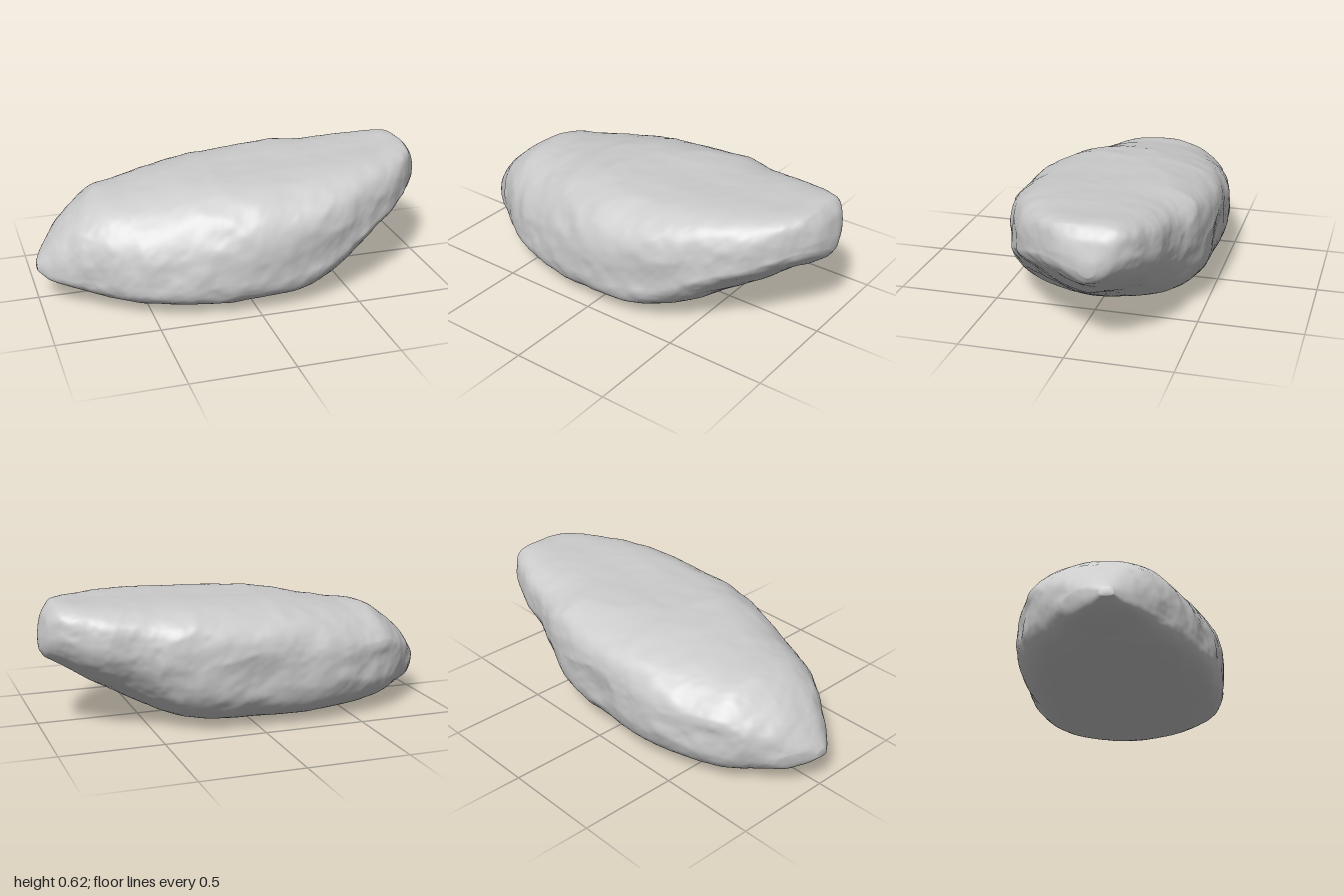
import * as THREE from 'three';

// Stations along the boulder: x, top y, bottom y, back z, front z
const STATIONS = [
  [-1.0, 0.2, 0.16, -0.03, 0.03], [-0.96, 0.26, 0.125, -0.11, 0.08],
  [-0.9, 0.34, 0.1, -0.2, 0.15], [-0.8, 0.43, 0.07, -0.3, 0.235],
  [-0.68, 0.505, 0.04, -0.385, 0.305], [-0.55, 0.525, 0.022, -0.44, 0.37],
  [-0.4, 0.55, 0.012, -0.485, 0.43], [-0.2, 0.58, 0.004, -0.5, 0.48],
  [0, 0.594, 0.008, -0.5, 0.498], [0.2, 0.6, 0.016, -0.498, 0.485],
  [0.38, 0.606, 0.035, -0.465, 0.455], [0.5, 0.61, 0.08, -0.42, 0.415],
  [0.62, 0.615, 0.145, -0.39, 0.36], [0.74, 0.618, 0.215, -0.362, 0.285],
  [0.85, 0.624, 0.29, -0.32, 0.19], [0.92, 0.615, 0.335, -0.275, 0.1],
  [0.97, 0.565, 0.365, -0.22, 0.02], [0.995, 0.47, 0.4, -0.15, -0.07],
];
const RINGS = 200, SIDES = 180;
const { lerp, smoothstep } = THREE.MathUtils;

// Seeded lattice value, and smooth noise in -1..1
function lattice(x, y, z) {
  let h = Math.imul(x, 374761393) ^ Math.imul(y, 668265263) ^ Math.imul(z, 1274126177);
  h = Math.imul(h ^ (h >>> 13), 1103515245);
  return ((h ^ (h >>> 16)) >>> 0) / 2147483648 - 1;
}
function noise(x, y, z) {
  const c = [x, y, z].map(Math.floor);
  const f = [x, y, z].map((v, k) => { const t = v - c[k]; return t * t * (3 - 2 * t); });
  let sum = 0;
  for (let k = 0; k < 8; k++) {
    const a = k & 1, b = (k >> 1) & 1, d = k >> 2;
    sum += (a ? f[0] : 1 - f[0]) * (b ? f[1] : 1 - f[1]) * (d ? f[2] : 1 - f[2])
      * lattice(c[0] + a, c[1] + b, c[2] + d);
  }
  return sum;
}

// Broad lumps, chipped ledges and fine grain; top and bottom stay smoother
function relief(p, n) {
  const calm = 1 - 0.6 * n.y ** 4;
  const lumps = noise(p.x * 4, p.y * 5, p.z * 4) * 0.009;
  const ledges = (0.3 - Math.abs(noise(p.x * 5 + 9, p.y * 7, p.z * 5 + 4))) * 0.014;
  const grain = noise(p.x * 15, p.y * 17, p.z * 15) * 0.004
    + noise(p.x * 36, p.y * 36, p.z * 36) * 0.0015;
  return calm * (lumps + ledges + grain);
}

function boulderGeometry() {
  const curve = (a, b) => new THREE.CatmullRomCurve3(
    STATIONS.map(s => new THREE.Vector3(s[0], s[a], s[b])), false, 'catmullrom', 0.4);
  const heights = curve(1, 2), widths = curve(3, 4);
  const pos = [], index = [];

  // Rings: the front is fullest low down, the back higher up. The top is rounded
  // at the low end and squarer at the raised end, where the underside is chamfered
  for (let i = 0; i <= RINGS; i++) {
    const { x, y: top, z: bottom } = heights.getPoint(i / RINGS);
    const { y: back, z: front } = widths.getPoint(i / RINGS);
    const square = smoothstep(x, -0.6, 0.4);
    const raised = smoothstep(x, 0.1, 0.65);
    for (let j = 0; j < SIDES; j++) {
      const a = j / SIDES * Math.PI * 2;
      const c = Math.cos(a), s = Math.sin(a);
      const under = c > 0 ? lerp(3, 1.5, raised) : lerp(3.3, 1.9, raised);
      const power = s > 0 ? lerp(2.2, 3.6, square) : under;
      const r = (Math.abs(c) ** power + Math.abs(s) ** power) ** (-1 / power);
      const pz = c * r, py = s * r;
      const level = lerp(0.57, lerp(0.3, 0.42, raised), (pz + 1) / 2);
      const h = level + py * (py > 0 ? 1 - level : level);
      pos.push(x, bottom + (top - bottom) * h, (back + front) / 2 + pz * (front - back) / 2);
    }
  }
  for (let i = 0; i < RINGS; i++) {
    for (let j = 0; j < SIDES; j++) {
      const k = (j + 1) % SIDES;
      const a = i * SIDES + j, b = a + SIDES, c = (i + 1) * SIDES + k, d = i * SIDES + k;
      index.push(a, b, c, a, c, d);
    }
  }

  // Close both tips
  const tipA = pos.length / 3, tipB = tipA + 1, last = RINGS * SIDES;
  pos.push(-1.002, 0.18, 0, 1.0, 0.435, -0.11);
  for (let j = 0; j < SIDES; j++) {
    const k = (j + 1) % SIDES;
    index.push(tipA, j, k, tipB, last + k, last + j);
  }

  const geo = new THREE.BufferGeometry();
  geo.setAttribute('position', new THREE.Float32BufferAttribute(pos, 3));
  geo.setIndex(index);
  geo.computeVertexNormals();

  // Push the surface along its normals to roughen it, fading out at the tips
  const P = geo.attributes.position, N = geo.attributes.normal;
  const p = new THREE.Vector3(), n = new THREE.Vector3();
  for (let i = 0; i < P.count; i++) {
    p.fromBufferAttribute(P, i);
    n.fromBufferAttribute(N, i);
    const fade = Math.min(1, (1.01 - Math.abs(p.x)) / 0.1);
    p.addScaledVector(n, relief(p, n) * fade);
    P.setXYZ(i, p.x, p.y, p.z);
  }

  // Centre it and rest it on the ground
  geo.computeBoundingBox();
  const height = geo.boundingBox.max.y - geo.boundingBox.min.y;
  geo.center();
  geo.translate(0, height / 2, 0);
  geo.computeVertexNormals();
  return geo;
}

export function createModel() {
  const group = new THREE.Group();
  group.name = 'rock';
  const boulder = new THREE.Mesh(boulderGeometry(),
    new THREE.MeshStandardMaterial({ color: 0xcccccc }));
  boulder.name = 'boulder';
  group.add(boulder);
  return group;
}
